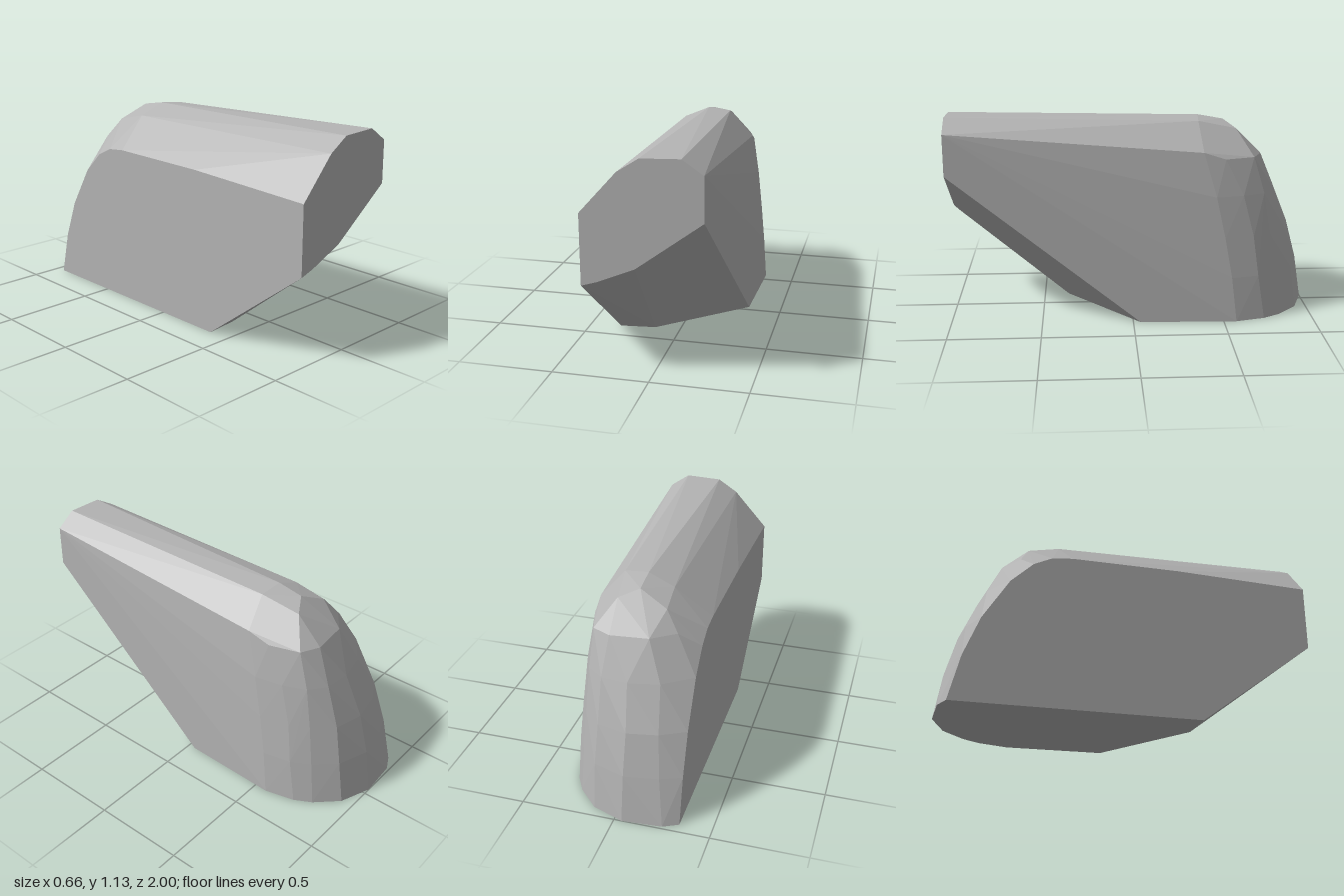
import * as THREE from 'three';
import { ConvexGeometry } from 'three/addons/geometries/ConvexGeometry.js';

export function createModel() {
  const group = new THREE.Group();
  const grey = new THREE.MeshStandardMaterial({ color: 0xb4b4b4 });
  grey.name = 'stone grey';
  grey.flatShading = true;

  const points = [];
  const add = (x, y, z) => points.push(new THREE.Vector3(x, y, z));

  // flat front end, as [x, y] at z = 1
  const front = [
    [-0.33, 0.475], [-0.25, 0.5], [-0.06, 0.58], [0.277, 0.83], [0.275, 1.055],
    [0.17, 1.127], [-0.03, 1.12], [-0.14, 1.05], [-0.33, 0.84],
  ];
  for (const [x, y] of front) add(x, y, 1);

  // rounded back, as horizontal rows of [x, z]
  const rows = {
    0: [[-0.33, -0.945], [-0.25, -0.985], [-0.04, -1], [0.13, -0.935], [0.24, -0.82], [0.29, -0.73], [0.33, -0.57]],
    0.25: [[-0.33, -0.885], [-0.22, -0.93], [-0.04, -0.96], [0.13, -0.9], [0.23, -0.79], [0.285, -0.69], [0.318, -0.54]],
    0.47: [[-0.33, -0.8], [-0.2, -0.87], [-0.04, -0.9], [0.12, -0.86], [0.22, -0.76], [0.27, -0.66], [0.305, -0.5]],
    0.7: [[-0.33, -0.66], [-0.18, -0.77], [-0.02, -0.805], [0.12, -0.79], [0.21, -0.72], [0.26, -0.6], [0.29, -0.45]],
    0.9: [[-0.22, -0.6], [-0.1, -0.69], [0.1, -0.71], [0.2, -0.66], [0.25, -0.5]],
  };
  for (const [y, row] of Object.entries(rows)) for (const [x, z] of row) add(x, Number(y), z);

  // front edge of the base
  for (const [x, z] of [[0.315, -0.04], [-0.14, 0.36], [-0.33, 0.38]]) add(x, 0, z);

  // crown and shoulder
  const crown = [
    [-0.15, 1.0, -0.55], [0, 1.075, -0.51], [0.1, 1.04, -0.57], [0.13, 1.088, -0.36],
    [0, 1.1, -0.37], [-0.14, 1.04, -0.38], [0.26, 0.94, -0.38],
  ];
  // upper edge of the flat side
  const sideEdge = [[-0.33, 0.87, 0.26], [-0.33, 0.875, -0.33], [-0.33, 0.864, -0.44], [-0.33, 0.816, -0.54]];
  for (const p of [...crown, ...sideEdge]) add(...p);

  const block = new THREE.Mesh(new ConvexGeometry(points), grey);
  block.name = 'facetedBlock';
  group.add(block);
  return group;
}
